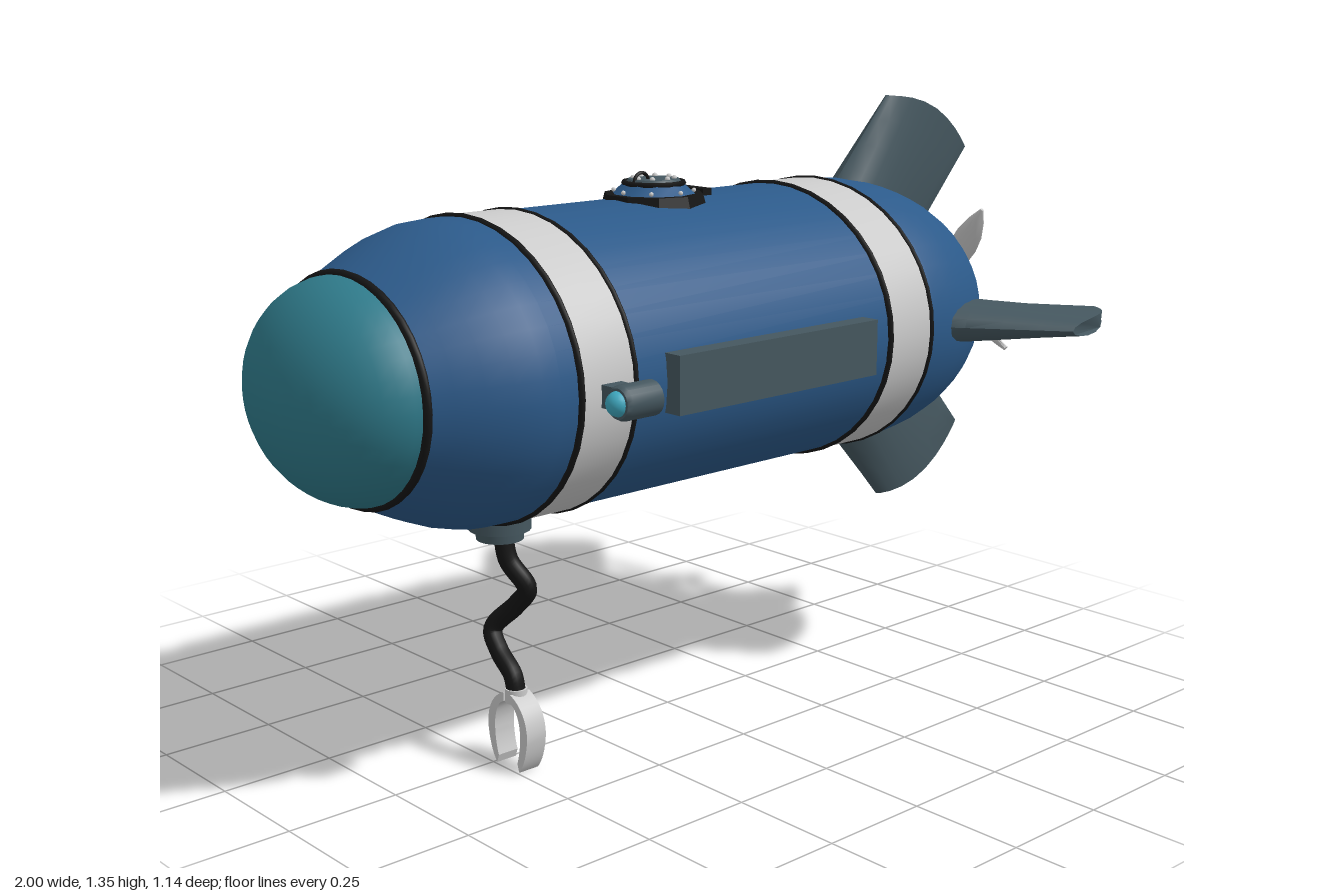
import * as THREE from 'three';
import { toCreasedNormals } from 'three/addons/utils/BufferGeometryUtils.js';

const paint = (color) => new THREE.MeshStandardMaterial({ color });
const blue = paint(0x2c5a8a), teal = paint(0x2f7a8a), slate = paint(0x45575f);
const black = paint(0x151515), grey = paint(0xcccccc), lensTeal = paint(0x3fa9c0);

const lerp = THREE.MathUtils.lerp;
const AXIS_Y = 0.86, R = 0.31, WIDEN = 1.16;

function add(parent, name, geometry, material, x = 0, y = 0, z = 0) {
  const mesh = new THREE.Mesh(geometry, material);
  mesh.name = name;
  mesh.position.set(x, y, z);
  parent.add(mesh);
  return mesh;
}

// Solid of revolution about the x axis from [x, radius] pairs, given in order of x
function turned(pairs, segments = 40) {
  const points = pairs.map(([x, r]) => new THREE.Vector2(r, x));
  return toCreasedNormals(new THREE.LatheGeometry(points, segments).rotateZ(-Math.PI / 2), 0.6);
}

// Ring lying around the x axis
const ring = (radius, tube) => new THREE.TorusGeometry(radius, tube, 8, 40).rotateY(Math.PI / 2);

// Closed skin over equal loops of [x, y, z]; each loop runs counter-clockwise about the travel direction
function loft(loops, crease = 0.7) {
  const n = loops[0].length, index = [];
  for (let i = 0; i < loops.length - 1; i++) {
    for (let j = 0; j < n; j++) {
      const a = i * n + j, b = i * n + (j + 1) % n;
      index.push(a, b, a + n, b, b + n, a + n);
    }
  }
  const last = (loops.length - 1) * n;
  for (let j = 1; j < n - 1; j++) {
    index.push(0, j + 1, j, last, last + j, last + j + 1);
  }
  const geometry = new THREE.BufferGeometry();
  geometry.setAttribute('position', new THREE.Float32BufferAttribute(loops.flat(2), 3));
  geometry.setIndex(index);
  return toCreasedNormals(geometry, crease);
}

// Swept fin pointing up: blunt leading edge, thin trailing edge, curved tip
function finGeometry() {
  const loops = [];
  for (let i = 0; i <= 5; i++) {
    const s = i / 5, half = lerp(0.068, 0.022, s), loop = [];
    for (let j = 0; j < 20; j++) {
      const a = (j / 20) * Math.PI * 2;
      const u = (1 + Math.sin(a)) / 2;
      const bulge = 0.036 * s * 4 * u * (1 - u);
      loop.push([
        lerp(0.46, 0.70, s) + 0.30 * u + 0.4 * bulge,
        lerp(0.22, 0.49, s) - 0.14 * u + 0.9 * bulge,
        Math.cos(a) * half * (1.25 - u),
      ]);
    }
    loops.push(loop);
  }
  return loft(loops);
}

// Leaf-shaped propeller blade pointing up, pitched about its length
function bladeGeometry() {
  const stations = [[0.015, 0.012], [0.05, 0.018], [0.09, 0.029], [0.13, 0.035], [0.17, 0.032], [0.21, 0.02], [0.243, 0.004]];
  return loft(stations.map(([r, half]) => {
    const pitch = lerp(0.95, 0.65, r / 0.24), loop = [];
    for (let j = 0; j < 12; j++) {
      const a = (j / 12) * Math.PI * 2;
      const x = Math.sin(a) * 0.006, z = Math.cos(a) * half;
      loop.push([x * Math.cos(pitch) + z * Math.sin(pitch), r, z * Math.cos(pitch) - x * Math.sin(pitch)]);
    }
    return loop;
  }), 1);
}

function createHull() {
  const hull = new THREE.Group();
  hull.name = 'hull';
  hull.position.y = AXIS_Y;
  hull.scale.z = WIDEN;

  // Main shell with rounded shoulder and tail
  const profile = [[-0.83, 0.222], [-0.78, 0.25], [-0.73, 0.274], [-0.68, 0.294], [-0.63, 0.307], [-0.59, R], [0.48, R]];
  for (let i = 1; i <= 12; i++) {
    const a = (i / 12) * Math.PI / 2;
    profile.push([0.48 + 0.4 * Math.sin(a), R * Math.cos(a)]);
  }
  add(hull, 'shell', turned(profile), blue);

  // Glass nose
  const nose = [];
  for (let i = 0; i <= 10; i++) {
    const a = (i / 10) * Math.PI / 2;
    nose.push([-0.82 - 0.18 * Math.cos(a), 0.226 * Math.sin(a)]);
  }
  add(hull, 'noseDome', turned(nose), teal);
  add(hull, 'noseRing', ring(0.226, 0.009), black, -0.825);

  // Pale bands with dark trim
  for (const x of [-0.475, 0.395]) {
    add(hull, 'band', turned([[-0.065, R - 0.01], [-0.065, R + 0.003], [0.065, R + 0.003], [0.065, R - 0.01]]), grey, x);
    for (const side of [-1, 1]) add(hull, 'bandTrim', ring(R, 0.007), black, x + side * 0.067);
  }

  // Four tail fins
  const fin = finGeometry();
  for (let i = 0; i < 4; i++) {
    const pivot = new THREE.Group();
    pivot.name = 'finPivot';
    pivot.rotation.x = i * Math.PI / 2;
    add(pivot, 'tailFin', fin, slate);
    hull.add(pivot);
  }
  return hull;
}

function createPropeller() {
  const propeller = new THREE.Group();
  propeller.name = 'propeller';
  propeller.position.set(0.925, AXIS_Y, 0);
  add(propeller, 'hub', turned([[-0.06, 0], [-0.06, 0.027], [0.025, 0.027], [0.035, 0.02], [0.035, 0]], 16), black);
  add(propeller, 'hubRing', ring(0.027, 0.004), slate, 0.02);
  const blade = bladeGeometry();
  for (let i = 0; i < 4; i++) {
    add(propeller, 'blade', blade, grey).rotation.x = Math.PI / 6 + i * Math.PI / 2;
  }
  return propeller;
}

function createHatch() {
  const hatch = new THREE.Group();
  hatch.name = 'hatch';
  hatch.position.set(-0.04, 1.17, 0);
  const disc = (top, bottom, height, sides) =>
    toCreasedNormals(new THREE.CylinderGeometry(top, bottom, height, sides), 0.5);
  add(hatch, 'hatchBase', disc(0.108, 0.122, 0.05, 10), black, 0, -0.017);
  add(hatch, 'hatchCone', disc(0.065, 0.1, 0.03, 10), blue, 0, 0.015);
  add(hatch, 'hatchRim', new THREE.TorusGeometry(0.064, 0.006, 6, 24).rotateX(Math.PI / 2), black, 0, 0.03);
  add(hatch, 'hatchLid', disc(0.055, 0.062, 0.012, 24), slate, 0, 0.033);
  for (let i = 0; i < 8; i++) {
    const a = (i / 8) * Math.PI * 2;
    add(hatch, 'bolt', new THREE.SphereGeometry(0.006, 8, 6), grey, Math.cos(a) * 0.044, 0.04, Math.sin(a) * 0.044);
    add(hatch, 'baseBolt', new THREE.SphereGeometry(0.005, 8, 6), grey, Math.cos(a) * 0.086, 0.014, Math.sin(a) * 0.086);
  }
  add(hatch, 'handle', new THREE.TorusGeometry(0.02, 0.004, 6, 12, Math.PI), black, -0.035, 0.033);
  add(hatch, 'hinge', new THREE.BoxGeometry(0.025, 0.02, 0.09), black, 0.115, 0.002);
  return hatch;
}

function createArm() {
  const arm = new THREE.Group();
  arm.name = 'arm';
  arm.position.x = -0.47;
  add(arm, 'armMount', new THREE.CylinderGeometry(0.066, 0.066, 0.07, 24), slate, 0, 0.55);
  add(arm, 'armCollar', new THREE.CylinderGeometry(0.052, 0.05, 0.025, 24), slate, 0, 0.506);
  const path = [[0, 0.51, 0.01], [0.005, 0.45, 0.02], [0.03, 0.39, 0.05], [0.035, 0.34, 0.005],
    [0.01, 0.28, -0.045], [0.003, 0.24, -0.015], [0, 0.2, 0.035], [0, 0.165, 0.045]];
  const curve = new THREE.CatmullRomCurve3(path.map((p) => new THREE.Vector3(...p)));
  add(arm, 'armHose', new THREE.TubeGeometry(curve, 60, 0.021, 12), black);
  add(arm, 'wrist', new THREE.CylinderGeometry(0.024, 0.024, 0.03, 16), grey, 0, 0.16, 0.045);

  // Pair of curved gripper jaws
  const shape = new THREE.Shape();
  shape.moveTo(0.012, 0.168);
  shape.quadraticCurveTo(0.065, 0.145, 0.067, 0.085);
  shape.quadraticCurveTo(0.062, 0.03, 0.038, 0.002);
  shape.lineTo(0.032, 0.02);
  shape.quadraticCurveTo(0.046, 0.06, 0.042, 0.1);
  shape.quadraticCurveTo(0.035, 0.14, 0.012, 0.148);
  const jaw = new THREE.ExtrudeGeometry(shape, { depth: 0.05, bevelEnabled: false, curveSegments: 8 });
  jaw.translate(0, 0, -0.025).rotateY(-Math.PI / 2);
  const smoothJaw = toCreasedNormals(jaw, 0.6);
  for (const turn of [0, Math.PI]) add(arm, 'jaw', smoothJaw, grey, 0, 0, 0.045).rotation.y = turn;
  return arm;
}

export function createModel() {
  const model = new THREE.Group();
  model.name = 'submarine';
  model.add(createHull(), createPropeller(), createHatch(), createArm());

  // Side panels and lamps
  const lampBody = turned([[-0.045, 0], [-0.045, 0.03], [-0.035, 0.035], [0.042, 0.035], [0.042, 0]], 20);
  for (const side of [-1, 1]) {
    add(model, 'sidePanel', new THREE.BoxGeometry(0.57, 0.12, 0.07), slate, -0.04, AXIS_Y, side * 0.36);
    add(model, 'lampBracket', new THREE.BoxGeometry(0.05, 0.045, 0.08), slate, -0.47, AXIS_Y, side * 0.375);
    add(model, 'lampBody', lampBody, slate, -0.47, AXIS_Y, side * 0.43);
    add(model, 'lampLens', new THREE.SphereGeometry(0.025, 16, 12), lensTeal, -0.512, AXIS_Y, side * 0.43);
  }
  return model;
}
